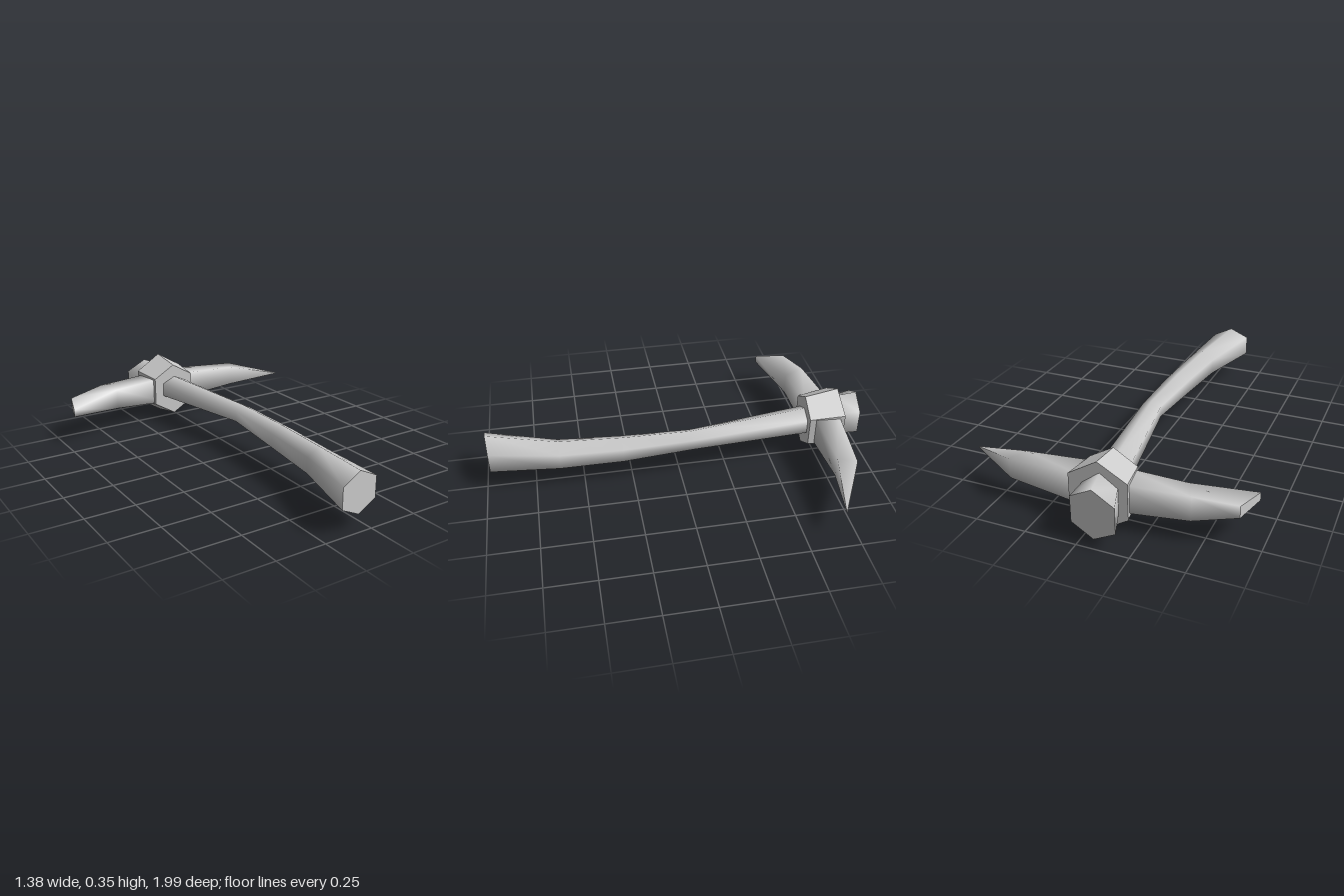
import * as THREE from 'three';

const material = new THREE.MeshStandardMaterial({ color: 0xcccccc });

// Skin a row of rings (counter-clockwise as seen from the far end) and cap both ends.
function loft(name, rings, flat = false) {
  const n = rings[0].length;
  const points = rings.flat();
  const index = [];
  for (let r = 0; r < rings.length - 1; r++) {
    for (let i = 0; i < n; i++) {
      const j = (i + 1) % n;
      const a = r * n + i, b = r * n + j;
      index.push(a, b, b + n, a, b + n, a + n);
    }
  }
  // caps have their own vertices so the end edges stay sharp
  const first = points.length;
  points.push(...rings[0], ...rings[rings.length - 1]);
  for (let i = 1; i < n - 1; i++) {
    index.push(first, first + i + 1, first + i);
    index.push(first + n, first + n + i, first + n + i + 1);
  }
  let geometry = new THREE.BufferGeometry();
  geometry.setAttribute('position', new THREE.Float32BufferAttribute(points.flat(), 3));
  geometry.setIndex(index);
  if (flat) geometry = geometry.toNonIndexed();
  geometry.computeVertexNormals();
  const mesh = new THREE.Mesh(geometry, material);
  mesh.name = name;
  return mesh;
}

// Upright hexagon with ridges at top and bottom; the z of each side can differ.
function hexRing([zLow, zHigh, x0, x1, y0, y1]) {
  const xm = (x0 + x1) / 2, zm = (zLow + zHigh) / 2;
  const ya = y0 + (y1 - y0) * 0.24, yb = y0 + (y1 - y0) * 0.76;
  return [
    [xm, y0, zm], [x1, ya, zHigh], [x1, yb, zHigh],
    [xm, y1, zm], [x0, yb, zLow], [x0, ya, zLow],
  ];
}

// Four-sided blade section: back edge and front edge, each with its own x and height.
function bladeRing([xBack, zBack, b0, b1, xFront, zFront, f0, f1]) {
  return [
    [xBack, b0, zBack], [xBack, b1, zBack],
    [xFront, f1, zFront], [xFront, f0, zFront],
  ];
}

export function createModel() {
  const group = new THREE.Group();
  group.name = 'pickaxe';

  // curved handle, flared at the grip end
  group.add(loft('handle', [
    [-0.84, -0.84, -0.13, 0.03, 0.10, 0.27],
    [-0.70, -0.70, -0.11, 0.035, 0.115, 0.258],
    [-0.06, -0.06, -0.01, 0.09, 0.14, 0.247],
    [0.30, 0.30, -0.03, 0.095, 0.11, 0.248],
    [0.62, 0.62, -0.06, 0.08, 0.095, 0.25],
    [0.99, 0.97, -0.16, 0.04, 0.08, 0.282],
  ].map(hexRing)));

  // flared handle butt behind the collar
  group.add(loft('handleButt', [
    [-1.0, -0.985, -0.19, 0.025, 0.05, 0.297],
    [-0.86, -0.86, -0.14, 0.022, 0.052, 0.302],
    [-0.80, -0.80, -0.13, 0.022, 0.07, 0.28],
  ].map(hexRing)));

  // hexagonal collar, wider at the back
  group.add(loft('collar', [
    [-0.865, -0.875, -0.187, 0.09, 0.005, 0.355],
    [-0.695, -0.69, -0.16, 0.075, 0.035, 0.328],
  ].map(hexRing), true));

  // broad chisel blade on the right
  group.add(loft('chiselBlade', [
    [-0.65, -0.76, 0.155, 0.215, -0.695, -0.605, 0.16, 0.20],
    [-0.45, -0.81, 0.12, 0.243, -0.40, -0.70, 0.125, 0.235],
    [-0.10, -0.85, 0.105, 0.252, -0.10, -0.715, 0.105, 0.252],
  ].map(bladeRing)));

  // pointed spike on the left
  group.add(loft('spikeBlade', [
    [0.04, -0.855, 0.108, 0.258, 0.04, -0.722, 0.108, 0.258],
    [0.42, -0.82, 0.135, 0.238, 0.38, -0.73, 0.132, 0.238],
    [0.685, -0.679, 0.163, 0.167, 0.685, -0.676, 0.163, 0.167],
  ].map(bladeRing)));

  return group;
}
